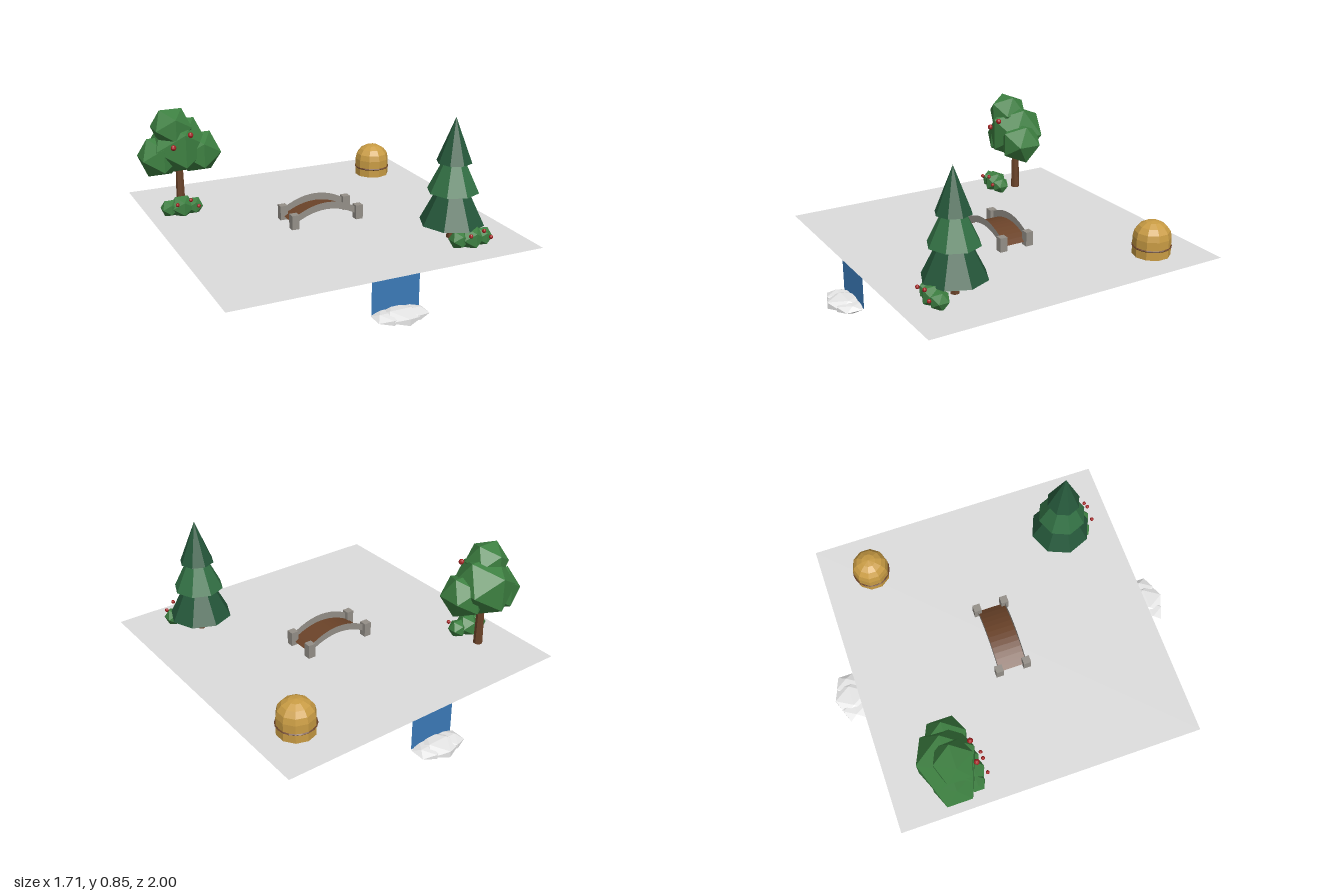
import * as THREE from 'three';

const flat = (name, color, side = THREE.FrontSide) => {
  const m = new THREE.MeshStandardMaterial({ color, flatShading: true, side });
  m.name = name;
  return m;
};

export function createModel() {
  const mat = {
    ground: flat('pale ground', 0xdddddd, THREE.DoubleSide),
    water: flat('water blue', 0x3b7ab8, THREE.DoubleSide),
    foam: flat('foam white', 0xf6f6f6),
    stone: flat('stone grey', 0x948f88, THREE.DoubleSide),
    wood: flat('bark brown', 0x6b4329, THREE.DoubleSide),
    hay: flat('straw gold', 0xc99c44),
    pine: flat('dark pine', 0x25573a),
    pineLight: flat('light pine', 0x327044),
    leaf: flat('leaf green', 0x3d8041),
    red: flat('berry red', 0xa32222),
  };
  const root = new THREE.Group();
  root.name = 'garden';

  const group = (name, x, y, z) => {
    const g = new THREE.Group();
    g.name = name;
    g.position.set(x, y, z);
    root.add(g);
    return g;
  };
  const add = (parent, name, geo, material, x = 0, y = 0, z = 0) => {
    const m = new THREE.Mesh(geo, material);
    m.name = name;
    m.position.set(x, y, z);
    parent.add(m);
    return m;
  };
  const blob = (parent, name, r, material, x, y, z) =>
    add(parent, name, new THREE.IcosahedronGeometry(r, 0), material, x, y, z);
  const fruit = (parent, name, r, x, y, z) =>
    add(parent, name, new THREE.SphereGeometry(r, 8, 6), mat.red, x, y, z);

  const Y = 0.2; // ground level

  // Ground sheet
  add(root, 'ground', new THREE.PlaneGeometry(1.71, 1.71).rotateX(-Math.PI / 2), mat.ground, 0, Y, 0);

  // Waterfalls with foam, front and back
  for (const s of [1, -1]) {
    add(root, 'waterfall', new THREE.PlaneGeometry(0.26, 0.17), mat.water, 0, 0.115, s * 0.855);
    const foam = group('foam', 0, 0.031, s * 0.907);
    blob(foam, 'foamCentre', 0.109, mat.foam, 0, 0, 0);
    blob(foam, 'foamSide', 0.08, mat.foam, 0.067, 0, 0);
    blob(foam, 'foamSide', 0.08, mat.foam, -0.071, 0, 0);
    foam.scale.y = 0.3;
  }

  // Arched bridge: curved deck, flat side arches, four posts
  const bridge = group('bridge', 0, 0, 0);
  const arc = (x) => 0.28 - 0.06 * (x / 0.19) ** 2;
  const deck = new THREE.PlaneGeometry(0.38, 0.16, 12, 1).rotateX(-Math.PI / 2);
  const p = deck.attributes.position;
  for (let i = 0; i < p.count; i++) p.setY(i, arc(p.getX(i)));
  deck.computeVertexNormals();
  add(bridge, 'deck', deck, mat.wood);

  const outline = [];
  for (let i = 0; i <= 12; i++) {
    const x = -0.19 + (0.38 * i) / 12;
    outline.push(new THREE.Vector2(x, arc(x)));
  }
  const upper = outline.map((v) => new THREE.Vector2(v.x, v.y + 0.04)).reverse();
  const archGeo = new THREE.ShapeGeometry(new THREE.Shape([...outline, ...upper]));
  for (const z of [0.08, -0.08]) {
    add(bridge, 'sideArch', archGeo, mat.stone, 0, 0, z);
    for (const x of [0.19, -0.19]) {
      add(bridge, 'post', new THREE.BoxGeometry(0.042, 0.082, 0.042), mat.stone, x, 0.239, z);
    }
  }

  // Haystack with a dark band
  const stack = group('haystack', 0.623, Y, -0.578);
  add(stack, 'stackBody', new THREE.CylinderGeometry(0.102, 0.102, 0.1, 10), mat.hay, 0, 0.05, 0);
  const dome = add(stack, 'stackDome',
    new THREE.SphereGeometry(0.102, 10, 4, 0, Math.PI * 2, 0, Math.PI / 2), mat.hay, 0, 0.1, 0);
  dome.scale.y = 0.86;
  // rotate the dome so its corners meet those of the body
  dome.rotation.y = Math.PI / 2;
  add(stack, 'band', new THREE.TorusGeometry(0.101, 0.005, 4, 20).rotateX(Math.PI / 2), mat.wood, 0, 0.05, 0);

  // Pine: trunk and three nested cones
  const pine = group('pineTree', 0.505, 0, 0.535);
  add(pine, 'pineTrunk', new THREE.CylinderGeometry(0.02, 0.024, 0.14, 6), mat.wood, 0, Y + 0.07, 0);
  const tiers = [
    [0.171, 0.288, 0.34, mat.pine],
    [0.136, 0.46, 0.28, mat.pineLight],
    [0.093, 0.616, 0.235, mat.pine],
  ];
  for (const [r, y, h, m] of tiers) {
    add(pine, 'pineTier', new THREE.ConeGeometry(r, h, 8), m, 0, y + h / 2, 0);
  }

  // Fruit tree: trunk, four leaf clumps and two fruits
  const tree = group('fruitTree', -0.637, 0, -0.515);
  add(tree, 'treeTrunk', new THREE.CylinderGeometry(0.02, 0.026, 0.28, 7), mat.wood, 0, Y + 0.14, 0);
  blob(tree, 'leafCentre', 0.178, mat.leaf, 0, 0.56, 0);
  blob(tree, 'leafLeft', 0.13, mat.leaf, 0.107, 0.52, 0.03);
  blob(tree, 'leafRight', 0.128, mat.leaf, -0.112, 0.508, 0);
  blob(tree, 'leafTop', 0.12, mat.leaf, -0.045, 0.677, 0.03);
  fruit(tree, 'fruit', 0.016, -0.067, 0.59, 0.14);
  fruit(tree, 'fruit', 0.016, 0.032, 0.65, 0.14);

  // Low berry bushes
  for (const [x, z] of [[-0.67, -0.39], [0.54, 0.665]]) {
    const bush = group('berryBush', x, 0.242, z);
    blob(bush, 'bushCentre', 0.07, mat.leaf, 0, 0, 0);
    blob(bush, 'bushSide', 0.053, mat.leaf, 0.068, -0.002, 0.005);
    blob(bush, 'bushSide', 0.053, mat.leaf, -0.068, -0.002, -0.005);
    for (const [bx, by] of [[-0.042, 0.036], [0.035, 0.053], [0.079, 0.013]]) {
      fruit(bush, 'berry', 0.011, bx, by, 0.066);
    }
  }

  return root;
}
